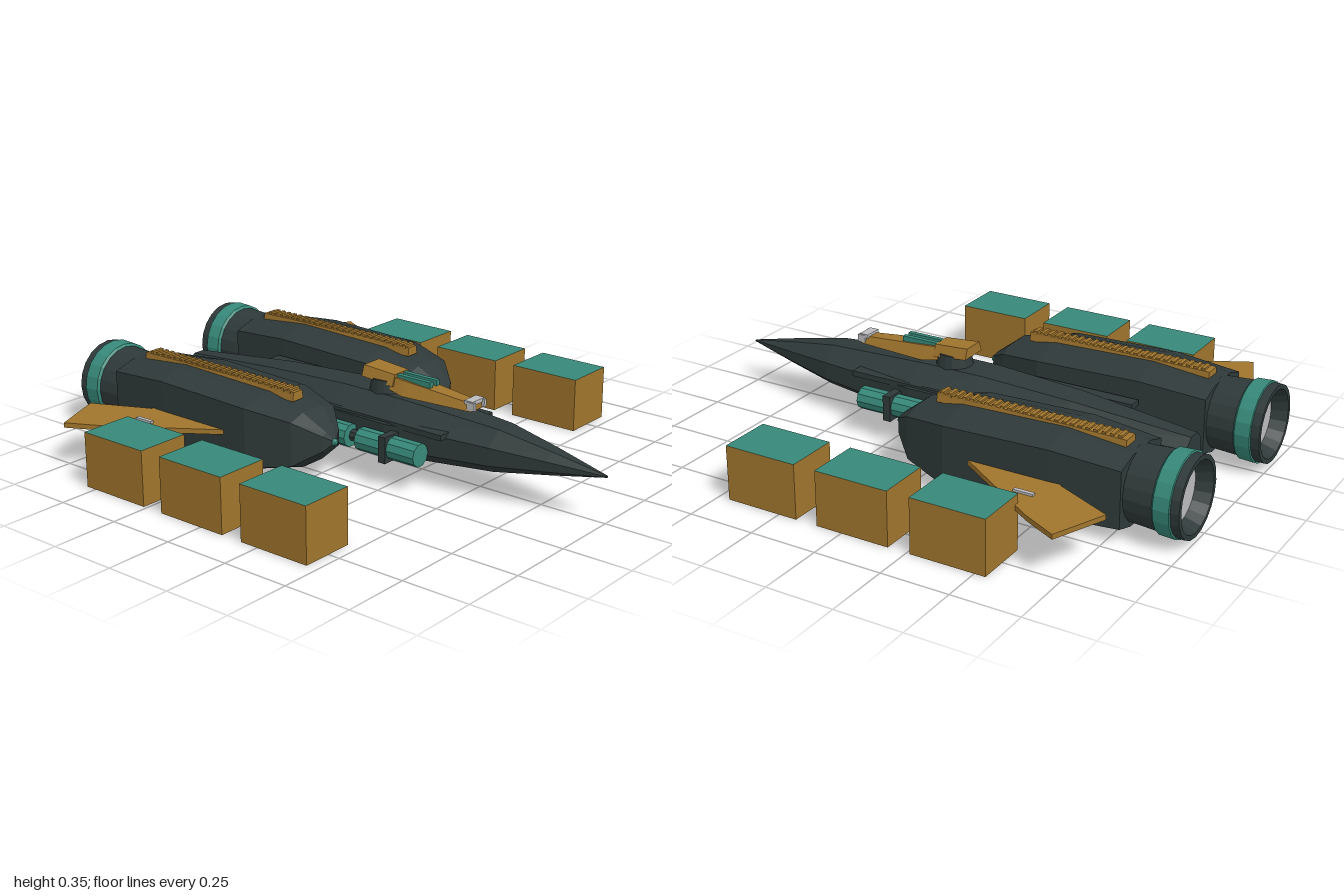
import * as THREE from 'three';

const mat = (name, color) => {
  const m = new THREE.MeshStandardMaterial({ color });
  m.name = name;
  m.flatShading = true;
  return m;
};

// Joins cross-sections (rings of [y, z] running from +y towards +z) along x, with end caps.
function loft(sections) {
  const pos = [];
  const tri = (...pts) => pts.forEach((p) => pos.push(...p));
  const rings = sections.map(([x, pts]) => pts.map(([y, z]) => [x, y, z]));
  const n = rings[0].length;
  for (let k = 0; k < rings.length - 1; k++) {
    const a = rings[k], b = rings[k + 1];
    for (let i = 0; i < n; i++) {
      const j = (i + 1) % n;
      tri(a[i], a[j], b[i]);
      tri(a[j], b[j], b[i]);
    }
  }
  const first = rings[0], last = rings[rings.length - 1];
  for (let i = 1; i < n - 1; i++) {
    tri(first[0], first[i + 1], first[i]);
    tri(last[0], last[i], last[i + 1]);
  }
  const g = new THREE.BufferGeometry();
  g.setAttribute('position', new THREE.Float32BufferAttribute(pos, 3));
  g.computeVertexNormals();
  return g;
}

// Mirrored eight-sided section: flat top and bottom, bevelled corners.
function octagon(half, top, bottom, flatTop, upper, lower, flatBottom) {
  const h = top - bottom;
  const side = [
    [top, half * flatTop], [top - h * upper, half],
    [bottom + h * lower, half], [bottom, half * flatBottom],
  ];
  return [...side, ...side.slice().reverse().map(([y, z]) => [y, -z])];
}

// Four-sided section, wider at the bottom.
const trapezoid = (top, bottom, halfTop, halfBottom) =>
  [[top, halfTop], [bottom, halfBottom], [bottom, -halfBottom], [top, -halfTop]];

export function createModel() {
  const hull = mat('dark hull', 0x2f3939);
  const ochre = mat('ochre', 0xa0752d);
  const teal = mat('teal', 0x37897a);
  const grey = mat('light grey', 0xbcbcc0);

  const model = new THREE.Group();
  model.name = 'spaceship';
  const add = (parent, name, geometry, material, x = 0, y = 0, z = 0) => {
    const m = new THREE.Mesh(geometry, material);
    m.name = name;
    m.position.set(x, y, z);
    parent.add(m);
    return m;
  };
  const box = (parent, name, material, [x0, x1], [y0, y1], [z0, z1]) =>
    add(parent, name, new THREE.BoxGeometry(x1 - x0, y1 - y0, Math.abs(z1 - z0)), material,
      (x0 + x1) / 2, (y0 + y1) / 2, (z0 + z1) / 2);
  const rod = (r, length, sides) =>
    new THREE.CylinderGeometry(r, r, length, sides).rotateZ(-Math.PI / 2);
  const turned = (points, sides) =>
    new THREE.LatheGeometry(points.map(([x, r]) => new THREE.Vector2(r, x)), sides).rotateZ(-Math.PI / 2);

  // Central fuselage: x, half width, top, bottom
  const body = [
    [-0.84, 0.06, 0.21, 0.11], [-0.4, 0.128, 0.25, 0.085], [-0.05, 0.152, 0.268, 0.07],
    [0.2, 0.157, 0.268, 0.07], [0.6, 0.102, 0.243, 0.1], [0.8, 0.055, 0.208, 0.13], [1, 0.003, 0.168, 0.162],
  ];
  add(model, 'fuselage', loft(body.map(([x, w, t, b]) =>
    [x, octagon(w, t, b, 0.4, 0.33, 0.22, 0.65)])), hull);

  // Turret on the fuselage
  const turret = new THREE.Group();
  turret.name = 'turret';
  model.add(turret);
  add(turret, 'turretBase', new THREE.CylinderGeometry(0.06, 0.068, 0.05, 16), hull, 0.097, 0.288);
  add(turret, 'turretRear', loft([
    [0.02, trapezoid(0.35, 0.312, 0.042, 0.056)],
    [0.155, trapezoid(0.34, 0.298, 0.038, 0.052)],
  ]), ochre);
  add(turret, 'turretFront', loft([
    [0.14, trapezoid(0.33, 0.285, 0.036, 0.05)],
    [0.2, trapezoid(0.325, 0.275, 0.036, 0.058)],
    [0.48, trapezoid(0.3, 0.275, 0.022, 0.034)],
  ]), ochre);
  for (const z of [-0.018, 0.018]) {
    box(turret, 'turretBarrel', teal, [0.15, 0.3], [0.318, 0.338], [z - 0.009, z + 0.009]);
  }
  box(turret, 'muzzleCap', grey, [0.45, 0.485], [0.298, 0.312], [-0.034, 0.034]);
  for (const z of [-0.03, 0.03]) {
    box(turret, 'muzzleProng', grey, [0.462, 0.492], [0.28, 0.308], [z - 0.006, z + 0.006]);
  }

  for (const s of [1, -1]) {
    const side = new THREE.Group();
    side.name = s > 0 ? 'leftSide' : 'rightSide';
    model.add(side);

    // Rail and fuel tanks along the fuselage
    box(side, 'sideRail', hull, [-0.56, 0.44], [0.195, 0.215], [s * 0.1, s * 0.15]);
    add(side, 'rearTank', rod(0.042, 0.2, 10), teal, -0.025, 0.137, s * 0.178);
    add(side, 'frontTank', rod(0.042, 0.257, 10), teal, 0.248, 0.137, s * 0.178);
    add(side, 'tankLink', rod(0.022, 0.1, 8), hull, 0.1, 0.137, s * 0.17);
    box(side, 'tankClamp', hull, [0.23, 0.26], [0.09, 0.185], [s * 0.12, s * 0.224]);

    // Engine nacelle
    const nacelle = new THREE.Group();
    nacelle.name = 'nacelle';
    nacelle.position.z = s * 0.32;
    side.add(nacelle);
    const pod = [
      [-0.8, 0.145, 0.285, 0.03], [-0.55, 0.16, 0.308, 0.015], [-0.15, 0.16, 0.295, 0.022],
      [0.02, 0.112, 0.262, 0.065], [0.1, 0.045, 0.2, 0.13], [0.118, 0.012, 0.175, 0.155],
    ];
    add(nacelle, 'nacelleBody', loft(pod.map(([x, w, t, b]) =>
      [x, octagon(w, t, b, 0.44, 0.1, 0.1, 0.44)])), hull);
    add(nacelle, 'noseTip', new THREE.SphereGeometry(0.013, 8, 6), teal, 0.118, 0.165, 0);

    // Exhaust
    add(nacelle, 'engineNozzle', turned([
      [-0.94, 0.1], [-1, 0.125], [-1, 0.142], [-0.96, 0.142], [-0.9, 0.136], [-0.79, 0.13],
    ], 20), hull, 0, 0.16, 0);
    add(nacelle, 'nozzleBand', turned([
      [-0.97, 0.138], [-0.967, 0.148], [-0.91, 0.145], [-0.9, 0.133],
    ], 20), teal, 0, 0.16, 0);
    add(nacelle, 'exhaustPlate', new THREE.CircleGeometry(0.105, 20).rotateY(-Math.PI / 2), grey, -0.945, 0.16, 0);

    // Ribbed spine
    add(nacelle, 'spine', loft([
      [-0.76, trapezoid(0.312, 0.28, 0.03, 0.034)],
      [-0.55, trapezoid(0.315, 0.295, 0.029, 0.033)],
      [-0.045, trapezoid(0.312, 0.28, 0.022, 0.027)],
    ]), ochre);
    for (let i = 0; i < 24; i++) {
      const x = -0.74 + i * 0.029;
      box(nacelle, 'spineRib', ochre, [x, x + 0.014], [0.305, 0.32], [-0.025, 0.025]);
    }

    // Swept wing with a small light
    const outline = [[-0.22, 0.46], [-0.6, 0.715], [-0.73, 0.782], [-0.812, 0.585], [-0.6, 0.485], [-0.55, 0.42]];
    const shape = new THREE.Shape(outline.map(([x, z]) => new THREE.Vector2(x, s * z)));
    add(side, 'wing', new THREE.ExtrudeGeometry(shape, { depth: 0.018, bevelEnabled: false })
      .rotateX(Math.PI / 2), ochre, 0, 0.168, 0);
    box(side, 'wingLight', grey, [-0.56, -0.487], [0.148, 0.176], [s * 0.583, s * 0.598]);

    // Cargo containers with coloured lids
    for (const x of [-0.54, -0.18, 0.18]) {
      box(side, 'container', [ochre, ochre, teal, ochre, ochre, ochre],
        [x, x + 0.277], [0, 0.2], [s * 0.655, s * 0.854]);
    }
  }
  return model;
}
